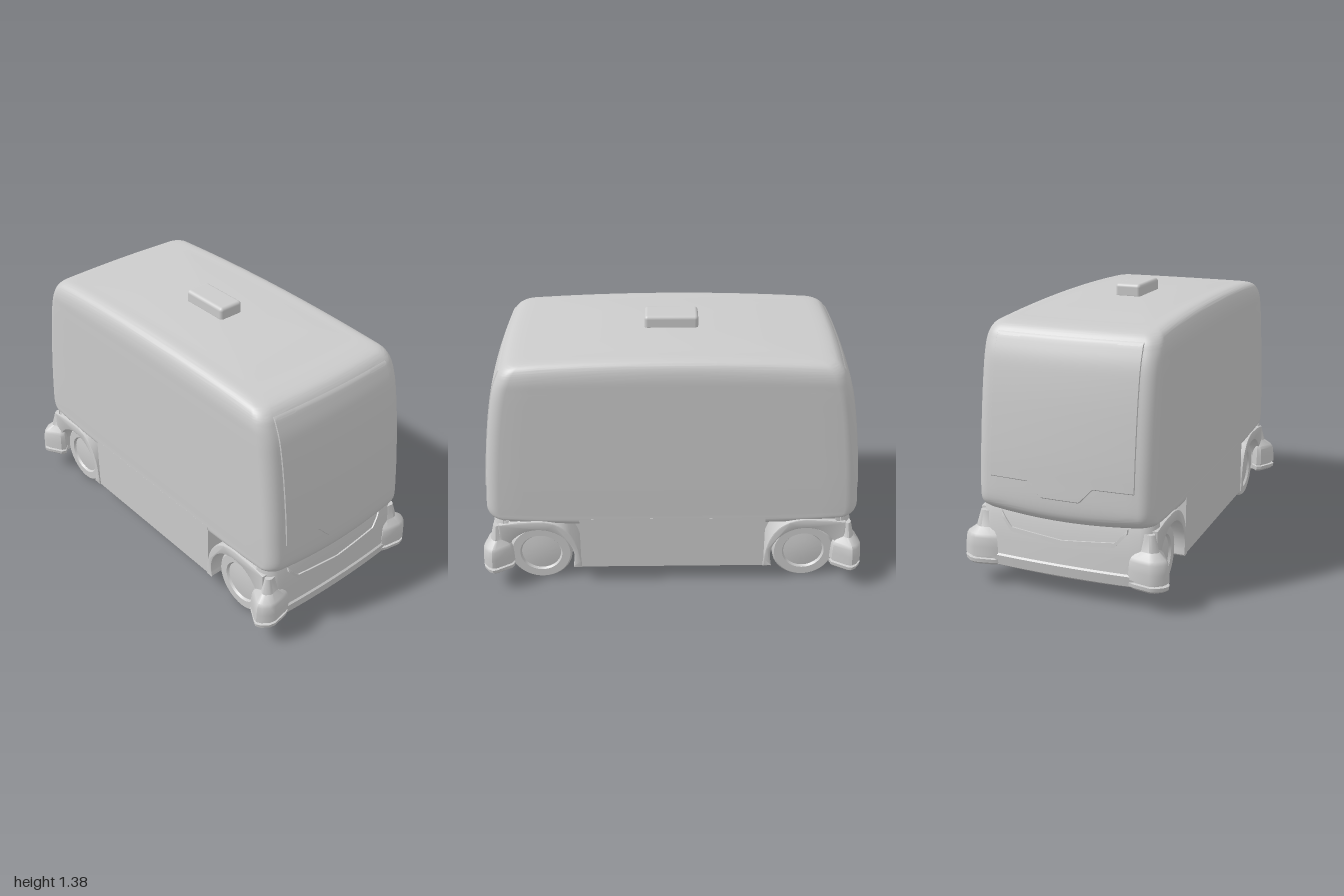
import * as THREE from 'three';
import { toCreasedNormals } from 'three/addons/utils/BufferGeometryUtils.js';
import { RoundedBoxGeometry } from 'three/addons/geometries/RoundedBoxGeometry.js';

const grey = new THREE.MeshStandardMaterial({ color: 0xcccccc });
const greyThin = new THREE.MeshStandardMaterial({ color: 0xcccccc, side: THREE.DoubleSide });
const lerp = THREE.MathUtils.lerp;
const smooth = THREE.MathUtils.smoothstep;

function add(parent, name, geometry, material = grey) {
  const mesh = new THREE.Mesh(geometry, material);
  mesh.name = name;
  parent.add(mesh);
  return mesh;
}

// Skin between rows of points; closed rows get capped at both ends.
function loft(rows, closed = true, crease = 0.5) {
  const n = rows[0].length;
  const pos = [], idx = [];
  rows.forEach(row => row.forEach(p => pos.push(p.x, p.y, p.z)));
  for (let i = 0; i < rows.length - 1; i++) {
    for (let j = 0; j < (closed ? n : n - 1); j++) {
      const k = (j + 1) % n;
      const a = i * n + j, b = i * n + k, c = a + n, d = b + n;
      idx.push(a, b, d, a, d, c);
    }
  }
  if (closed) {
    [0, rows.length - 1].forEach(i => {
      const mid = rows[i].reduce((s, p) => s.add(p), new THREE.Vector3()).divideScalar(n);
      const m = pos.length / 3;
      pos.push(mid.x, mid.y, mid.z);
      for (let j = 0; j < n; j++) {
        const a = i * n + j, b = i * n + (j + 1) % n;
        if (i === 0) idx.push(m, b, a); else idx.push(m, a, b);
      }
    });
  }
  const g = new THREE.BufferGeometry();
  g.setAttribute('position', new THREE.Float32BufferAttribute(pos, 3));
  g.setIndex(idx);
  return toCreasedNormals(g, crease);
}

// Rounded rectangle in plan, from zb to zf.
function plan(w, y, zf, zb, r, rb = r) {
  const corners = [[-w + r, zf - r, r], [w - r, zf - r, r], [w - rb, zb + rb, rb], [-w + rb, zb + rb, rb]];
  const arcs = corners.map(([cx, cz, rad], q) => Array.from({ length: 8 }, (_, i) => {
    const a = Math.PI - (q + i / 7) * Math.PI / 2;
    return new THREE.Vector3(cx + rad * Math.cos(a), y, cz + rad * Math.sin(a));
  }));
  return arcs.flatMap((arc, q) => {
    const next = arcs[(q + 1) % 4][0];
    const edge = Array.from({ length: 13 }, (_, i) => arc[7].clone().lerp(next, (i + 1) / 14));
    return [...arc, ...edge];
  });
}

// Ends bow outwards in plan.
const bow = (p, w) => { p.z *= 1 - 0.02 * (p.x / w) ** 2; return p; };

// Body levels: half width, height, half length.
const bodyLevels = new THREE.CatmullRomCurve3([
  [0.44, 0.372, 0.94], [0.452, 0.392, 0.963], [0.453, 0.43, 0.979], [0.454, 0.6, 0.972],
  [0.453, 0.8, 0.952], [0.452, 1.0, 0.924], [0.451, 1.15, 0.894], [0.449, 1.225, 0.872],
  [0.44, 1.268, 0.855], [0.425, 1.295, 0.832], [0.4, 1.31, 0.8], [0.32, 1.315, 0.64],
  [0.2, 1.32, 0.4], [0.008, 1.323, 0.016],
].map(a => new THREE.Vector3(...a)), false, 'centripetal').getPoints(78);

// Roof drops towards the ends and the lower edge rises towards the corners.
function shapeBody(p, w, l) {
  bow(p, w);
  const lift = 0.03 * (p.x / w) ** 2 * (Math.abs(p.z) / l) ** 4 * (1 - smooth(p.y, 0.38, 0.5));
  p.y += lift - 0.03 * (p.z / 0.85) ** 2 * smooth(p.y, 1.1, 1.3);
  return p;
}

const bumperLevels = [
  [0.36, 0.1, 0.962], [0.44, 0.115, 0.982], [0.45, 0.165, 0.988], [0.45, 0.173, 0.979],
  [0.455, 0.25, 0.969], [0.457, 0.36, 0.952], [0.45, 0.42, 0.93],
].map(a => new THREE.Vector3(...a));

function levelAt(levels, y) {
  const i = Math.max(1, levels.findIndex(p => p.y >= y));
  const a = levels[i - 1], b = levels[i];
  return a.clone().lerp(b, THREE.MathUtils.clamp((y - a.y) / (b.y - a.y), 0, 1));
}

// Raised panel following an end face, with its rim sunk into the face.
function panel(levels, shape, halfX, bottom, top, height, openTop) {
  const us = [-1, -0.985, ...Array.from({ length: 61 }, (_, i) => -0.97 + 1.94 * i / 60), 0.985, 1];
  const vs = [0, 0.012, ...Array.from({ length: 40 }, (_, i) => 0.025 + 0.95 * i / 39), 0.988, 1];
  return loft(vs.map(v => us.map(u => {
    const x = u * halfX, y = lerp(bottom(Math.abs(x)), top(Math.abs(x)), v);
    const s = levelAt(levels, y);
    const p = shape(new THREE.Vector3(x, y, s.z), s.x, s.z);
    const rim = Math.abs(u) === 1 || v === 0 || (v === 1 && !openTop);
    p.z += rim ? -0.004 : v === 1 ? 0.001 : height;
    return p;
  })), false, 0.4);
}

// Wheel arch side profile (z, y), extruded across the wheel well.
function archGeometry() {
  const s = new THREE.Shape();
  s.moveTo(0.527, 0.105);
  s.lineTo(0.488, 0.105);
  s.bezierCurveTo(0.495, 0.28, 0.55, 0.392, 0.7, 0.394);
  s.lineTo(0.8, 0.39);
  s.lineTo(0.9, 0.375);
  s.lineTo(0.905, 0.105);
  s.lineTo(0.873, 0.105);
  s.absarc(0.7, 0.165, 0.187, -0.34, Math.PI + 0.34, false);
  const g = new THREE.ExtrudeGeometry(s, {
    depth: 0.13, curveSegments: 28, bevelThickness: 0.007, bevelSize: 0.006, bevelSegments: 2,
  });
  g.rotateY(-Math.PI / 2);
  g.translate(0.065, 0, 0);
  return toCreasedNormals(g, 0.6);
}

// Tyre with a dished hub on its outer face, axle along x.
function wheelGeometry() {
  const pts = [[0, -0.042], [0.155, -0.042], [0.165, -0.034], [0.165, 0.03], [0.155, 0.042],
    [0.112, 0.042], [0.104, 0.03], [0.06, 0.036], [0, 0.038]];
  const g = new THREE.LatheGeometry(pts.map(p => new THREE.Vector2(...p)), 48);
  g.rotateZ(-Math.PI / 2);
  return toCreasedNormals(g, 0.5);
}

// Corner sensor pod with a slot running round it.
function podGeometry() {
  const outline = [[0.34, 0.972], [0.37, 0.985], [0.455, 1.0], [0.485, 0.994], [0.52, 0.968], [0.533, 0.945],
    [0.528, 0.925], [0.48, 0.845], [0.455, 0.835], [0.42, 0.87]];
  const levels = [[0.108, 0.85], [0.12, 0.98], [0.138, 1], [0.141, 0.86], [0.151, 0.86], [0.154, 1],
    [0.2, 0.98], [0.245, 0.93], [0.262, 0.84], [0.29, 0.5], [0.37, 0.3]];
  return loft(levels.map(([y, s]) => outline.map(([x, z]) =>
    new THREE.Vector3(lerp(0.42, x, s), y, lerp(0.91, z, s)))), true, 0.6);
}

// Everything at one end; the other end is the same turned round.
function buildEnd(name) {
  const end = new THREE.Group();
  end.name = name;
  add(end, 'bumper', loft(bumperLevels.map(({ x: w, y, z: l }) =>
    plan(w, y, l, 0.893, 0.07, 0.004).map(p => bow(p, w))), true, 0.35));

  const screenBottom = x => lerp(0.49, 0.562, THREE.MathUtils.clamp((x - 0.1) / 0.065, 0, 1));
  add(end, 'windscreen', panel(bodyLevels, shapeBody, 0.372, screenBottom, () => 1.275, 0.005, true), greyThin);

  const lipBottom = x => x < 0.27 ? 0.27 + 0.09 * x : 0.294 + (x - 0.27) * 1.2;
  add(end, 'bumperLip', panel(bumperLevels, bow, 0.33, lipBottom, x => lipBottom(x) + 0.022, 0.008, false), greyThin);

  const pod = podGeometry(), arch = archGeometry(), wheel = wheelGeometry();
  for (const side of [1, -1]) {
    const label = side > 0 ? 'left' : 'right';
    add(end, label + 'WheelArch', arch).position.x = side * 0.39;
    const w = add(end, label + 'Wheel', wheel);
    w.position.set(side * 0.372, 0.165, 0.7);
    if (side < 0) w.rotation.y = Math.PI;
    // Mirror the pod about x = 0
    const p = add(end, label + 'SensorPod', pod);
    p.scale.x = side;
  }
  return end;
}

export function createModel() {
  const model = new THREE.Group();
  model.name = 'shuttle';

  // Main cabin shell
  add(model, 'cabin', loft(bodyLevels.map(({ x: w, y, z: l }) =>
    plan(w, y, l, -l, 0.15 * w).map(p => shapeBody(p, w, l))), true, 0.7));

  // Lower body between and inside the wheels
  const skirt = add(model, 'sideSkirt', new THREE.BoxGeometry(0.907, 0.31, 0.97));
  skirt.position.y = 0.255;
  const chassis = add(model, 'chassis', new THREE.BoxGeometry(0.645, 0.29, 1.81));
  chassis.position.y = 0.246;

  // Roof sensor
  const roof = add(model, 'roofSensor', new RoundedBoxGeometry(0.138, 0.075, 0.274, 4, 0.018));
  roof.position.y = 1.345;

  const front = buildEnd('frontEnd');
  const back = buildEnd('backEnd');
  back.rotation.y = Math.PI;
  model.add(front, back);
  return model;
}
